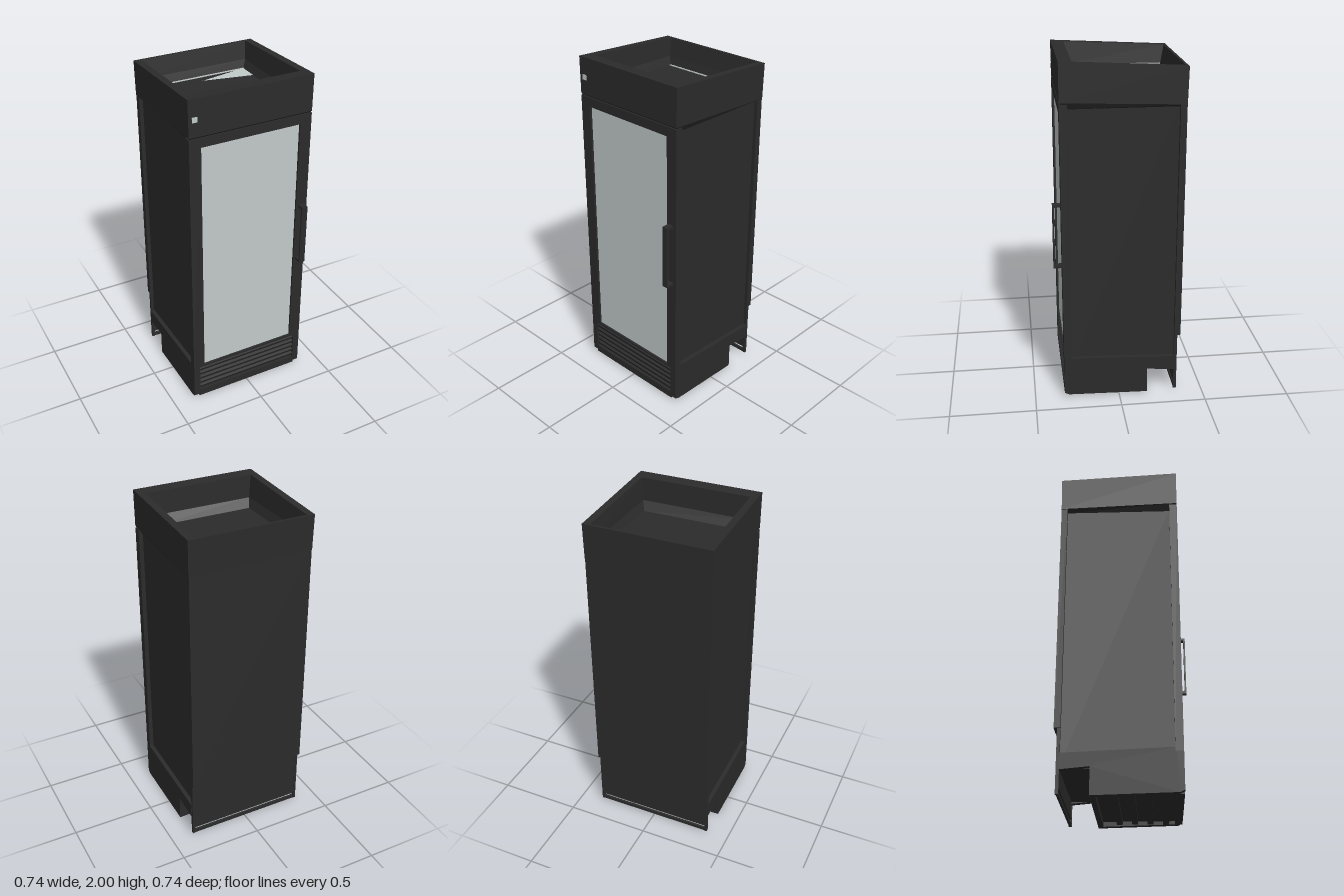
import * as THREE from 'three';

export function createModel() {
  const root = new THREE.Group();
  const mat = (name, color) => {
    const m = new THREE.MeshStandardMaterial({ color });
    m.name = name;
    return m;
  };
  const black = mat('black shell', 0x2b2b2b);
  const glass = mat('pale glass', 0xc3caca);

  const add = (name, geo, m = black) => {
    const mesh = new THREE.Mesh(geo, m);
    mesh.name = name;
    root.add(mesh);
    return mesh;
  };
  // Box given by its limits on each axis
  const box = (name, x0, x1, y0, y1, z0, z1, m = black) => {
    const mesh = add(name, new THREE.BoxGeometry(x1 - x0, y1 - y0, z1 - z0), m);
    mesh.position.set((x0 + x1) / 2, (y0 + y1) / 2, (z0 + z1) / 2);
    return mesh;
  };
  // Side profile of [z, y] points, extruded along x
  const profile = (name, pts, x, width) => {
    const shape = new THREE.Shape(pts.map(([z, y]) => new THREE.Vector2(z, y)));
    const geo = new THREE.ExtrudeGeometry(shape, { depth: width, bevelEnabled: false });
    geo.rotateY(-Math.PI / 2).translate(x + width / 2, 0, 0);
    return add(name, geo);
  };
  // Rectangular rings [halfX, zBack, zFront, yFront, yBack] joined in order, last one capped
  const loft = (name, rings) => {
    const pos = [], idx = [];
    rings.forEach(([hx, zb, zf, yf, yb]) =>
      pos.push(-hx, yf, zf, hx, yf, zf, hx, yb, zb, -hx, yb, zb));
    for (let r = 0; r < rings.length - 1; r++) {
      for (let i = 0; i < 4; i++) {
        const a = r * 4 + i, b = r * 4 + (i + 1) % 4;
        idx.push(a, b, b + 4, a, b + 4, a + 4);
      }
    }
    const c = (rings.length - 1) * 4;
    idx.push(c, c + 1, c + 2, c, c + 2, c + 3);
    const indexed = new THREE.BufferGeometry();
    indexed.setAttribute('position', new THREE.Float32BufferAttribute(pos, 3));
    indexed.setIndex(idx);
    const geo = indexed.toNonIndexed();
    geo.computeVertexNormals();
    return add(name, geo);
  };

  // Cabinet core: its sides are the sunken side panels
  box('cabinetCore', -0.345, 0.345, 0.16, 1.78, -0.335, 0.29);

  // Header with an open tray on top, sloping slightly to the back
  loft('header', [
    [0.345, -0.34, 0.29, 1.745, 1.745],
    [0.37, -0.366, 0.325, 1.785, 1.76],
    [0.372, -0.37, 0.325, 2.0, 1.965],
    [0.33, -0.355, 0.25, 1.995, 1.965],
    [0.32, -0.335, 0.245, 1.86, 1.86],
    [0.3, -0.32, 0.21, 1.81, 1.81],
  ]);
  box('badge', -0.35, -0.32, 1.87, 1.9, 0.32, 0.328, glass);

  // Pale pieces lying in the tray
  const wedge = new THREE.Shape([[0, 0.26], [0.3, 0.2], [0.3, 0.32]].map(([x, y]) => new THREE.Vector2(x, y)));
  add('trayWedge', new THREE.ShapeGeometry(wedge).rotateX(-Math.PI / 2).translate(0, 1.812, 0), glass);
  box('trayStrip', -0.3, 0.3, 1.81, 1.815, -0.32, -0.312, glass);

  // Door frame with a rectangular opening
  const rect = (P, x, y0, y1) => new P([
    new THREE.Vector2(-x, y0), new THREE.Vector2(x, y0), new THREE.Vector2(x, y1), new THREE.Vector2(-x, y1)]);
  const frame = rect(THREE.Shape, 0.37, 0.235, 1.775);
  frame.holes.push(rect(THREE.Path, 0.3, 0.25, 1.72));
  add('doorFrame', new THREE.ExtrudeGeometry(frame, { depth: 0.045, bevelEnabled: false }).translate(0, 0, 0.28));
  box('doorGlass', -0.3, 0.3, 0.25, 1.72, 0.305, 0.313, glass);

  // Door handle: a slim bar on two stubs
  box('handleBar', 0.312, 0.348, 0.83, 1.21, 0.362, 0.372);
  for (const y of [0.83, 1.195]) box('handleStub', 0.312, 0.348, y, y + 0.015, 0.32, 0.365);

  // Base with a notch at the rear
  profile('baseBody', [[0.295, 0.24], [0.295, 0.03], [-0.17, 0.03], [-0.17, 0.15], [-0.335, 0.15], [-0.335, 0.24]], 0, 0.67);
  for (const s of [-1, 1]) {
    profile('baseCheek', [[0.325, 0.25], [0.325, 0.025], [0.3, 0.012], [-0.17, 0], [-0.17, 0.155],
      [-0.335, 0.14], [-0.335, 0.23], [0.28, 0.255]], s * 0.35, 0.04);
  }
  box('kickRail', -0.335, 0.335, 0.01, 0.055, 0.28, 0.324);
  box('baseRearRail', -0.335, 0.335, 0.0, 0.04, -0.17, -0.14);
  for (let i = 0; i < 4; i++) {
    box('baseRib', -0.335, 0.335, 0.012, 0.035, -0.06 + i * 0.09, -0.025 + i * 0.09);
  }

  // Front grille of tilted slats
  for (let i = 0; i < 5; i++) {
    const y = 0.078 + i * 0.034;
    box('grilleSlat', -0.33, 0.33, y - 0.011, y + 0.011, 0.292, 0.318).rotation.x = 0.35;
  }

  // Back panel and the thin hanging skirt below it
  box('backPanel', -0.368, 0.368, 0.37, 1.8, -0.366, -0.33);
  box('backSkirt', -0.365, 0.365, 0.05, 0.38, -0.345, -0.332);
  box('skirtRail', -0.365, 0.365, 0.01, 0.03, -0.345, -0.332);
  for (const s of [-1, 1]) box('skirtEdge', s * 0.358 - 0.008, s * 0.358 + 0.008, 0.01, 0.38, -0.348, -0.33);

  return root;
}
